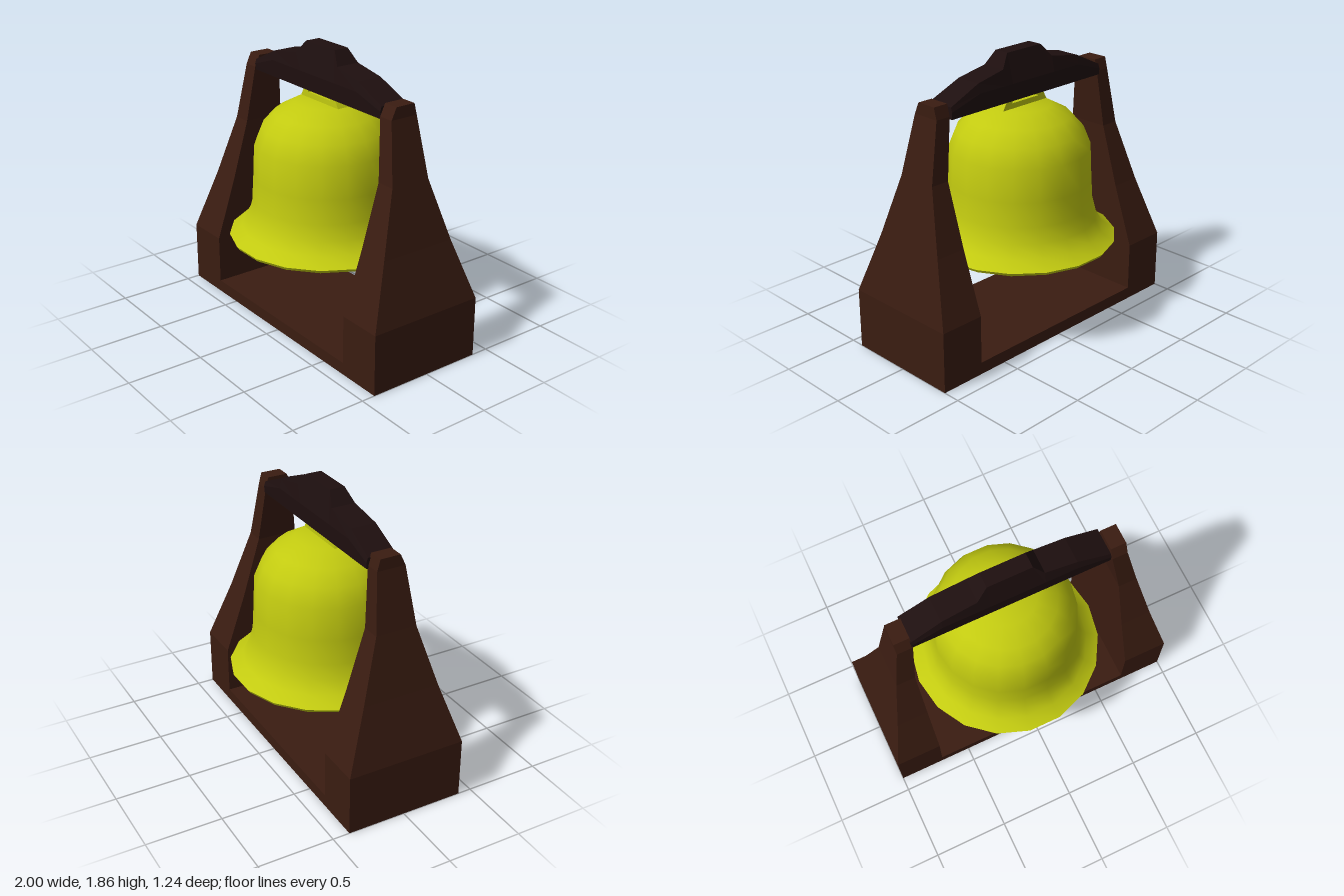
import * as THREE from 'three';
import { toCreasedNormals } from 'three/addons/utils/BufferGeometryUtils.js';

const wood = new THREE.MeshStandardMaterial({ color: 0x3a1c11, flatShading: true });
const darkWood = new THREE.MeshStandardMaterial({ color: 0x1e0f0f, flatShading: true });
const brass = new THREE.MeshStandardMaterial({ color: 0xc2ca10 });
const brassFlat = new THREE.MeshStandardMaterial({ color: 0xc2ca10, flatShading: true });
const BELL_X = -0.022;

// Skins a closed, capped solid over rings of equal point count
function loft(rings) {
  const n = rings[0].length, last = (rings.length - 1) * n, index = [];
  for (let r = 0; r < rings.length - 1; r++) {
    for (let i = 0; i < n; i++) {
      const a = r * n + i, b = r * n + (i + 1) % n;
      index.push(a, b, b + n, a, b + n, a + n);
    }
  }
  for (let i = 1; i < n - 1; i++) {
    index.push(0, i + 1, i, last, last + i, last + i + 1);
  }
  const g = new THREE.BufferGeometry();
  g.setAttribute('position', new THREE.Float32BufferAttribute(rings.flat(2), 3));
  g.setIndex(index);
  const flat = g.toNonIndexed();
  flat.computeVertexNormals();
  return flat;
}

function add(group, name, geometry, material) {
  const mesh = new THREE.Mesh(geometry, material);
  mesh.name = name;
  group.add(mesh);
  return mesh;
}

// Tapering side post: y, inner x, outer x, front z, back z, sideways shift
function postGeometry(side) {
  const rows = [
    [0, 0.698, 1, 0.41, -0.387, 0],
    [0.4, 0.698, 1, 0.41, -0.387, 0],
    [0.8, 0.698, 0.905, 0.275, -0.245, 0],
    [1.2, 0.698, 0.823, 0.155, -0.12, 0],
    [1.58, 0.65, 0.752, 0.105, -0.085, -0.008],
    [1.655, 0.65, 0.752, 0.07, -0.065, -0.008],
  ];
  return loft(rows.map(([y, inner, outer, front, back, shift]) => {
    const [x0, x1] = [side * inner + shift, side * outer + shift].sort((a, b) => a - b);
    return [[x0, y, front], [x1, y, front], [x1, y, back], [x0, y, back]];
  }));
}

// Headstock: x, top height, half width of the top
function yokeGeometry() {
  const sections = [
    [-0.665, 1.63, 0.09], [-0.46, 1.73, 0.085], [-0.23, 1.77, 0.08], [-0.155, 1.855, 0.05],
    [0.135, 1.855, 0.05], [0.2, 1.77, 0.08], [0.41, 1.73, 0.085], [0.635, 1.635, 0.09],
  ];
  return loft(sections.map(([x, top, w]) => {
    const shoulder = Math.min(1.67, top - 0.03);
    return [
      [x, 1.56, 0.097], [x, 1.56, -0.097], [x, shoulder, -0.1],
      [x, top, -w], [x, top, w], [x, shoulder, 0.1],
    ];
  }));
}

// Bell wall: inside from crown to lip, then outside back to the crown
function bellGeometry() {
  const profile = [
    [0, 1.46], [0.18, 1.46], [0.31, 1.395], [0.385, 1.315], [0.432, 1.2], [0.44, 1],
    [0.452, 0.84], [0.478, 0.735], [0.525, 0.65], [0.6, 0.59], [0.617, 0.585],
    [0.629, 0.605], [0.547, 0.66], [0.502, 0.74], [0.477, 0.84], [0.467, 1],
    [0.457, 1.21], [0.408, 1.33], [0.328, 1.42], [0.2, 1.49], [0, 1.49],
  ].map(p => new THREE.Vector2(...p));
  return toCreasedNormals(new THREE.LatheGeometry(profile, 18, Math.PI / 18), 0.62);
}

// Loop on the crown that holds the bell to the headstock
function hangerGeometry() {
  const shape = new THREE.Shape([
    [-0.195, 1.485], [0.195, 1.485], [0.15, 1.565], [0.12, 1.6], [-0.12, 1.6], [-0.15, 1.565],
  ].map(p => new THREE.Vector2(...p)));
  shape.holes.push(new THREE.Path([
    [-0.115, 1.525], [-0.095, 1.575], [0.095, 1.575], [0.115, 1.525],
  ].map(p => new THREE.Vector2(...p))));
  const g = new THREE.ExtrudeGeometry(shape, { depth: 0.1, bevelEnabled: false });
  return g.translate(0, 0, -0.05);
}

export function createModel() {
  const model = new THREE.Group();
  model.name = 'bellOnStand';

  // Stand
  const stand = new THREE.Group();
  stand.name = 'stand';
  model.add(stand);
  const base = new THREE.BoxGeometry(1.4, 0.08, 0.797).translate(0, 0.04, 0.0115);
  add(stand, 'base', base, wood);
  add(stand, 'leftPost', postGeometry(1), wood);
  add(stand, 'rightPost', postGeometry(-1), wood);
  add(stand, 'headstock', yokeGeometry(), darkWood);

  // Bell
  const bell = new THREE.Group();
  bell.name = 'bell';
  bell.position.x = BELL_X;
  model.add(bell);
  add(bell, 'bellBody', bellGeometry(), brass);
  add(bell, 'hanger', hangerGeometry(), brassFlat);

  // Clapper
  const clapper = new THREE.Group();
  clapper.name = 'clapper';
  bell.add(clapper);
  const rod = new THREE.CylinderGeometry(0.022, 0.022, 0.82, 6).translate(0, 1.06, 0);
  add(clapper, 'clapperRod', rod, brassFlat);
  const ballProfile = [
    [0, 0.465], [0.075, 0.465], [0.138, 0.505], [0.166, 0.565],
    [0.16, 0.62], [0.12, 0.67], [0.05, 0.7], [0, 0.7],
  ].map(p => new THREE.Vector2(...p));
  const ball = new THREE.LatheGeometry(ballProfile, 6, Math.PI / 18);
  add(clapper, 'clapperBall', ball, brassFlat);

  return model;
}
